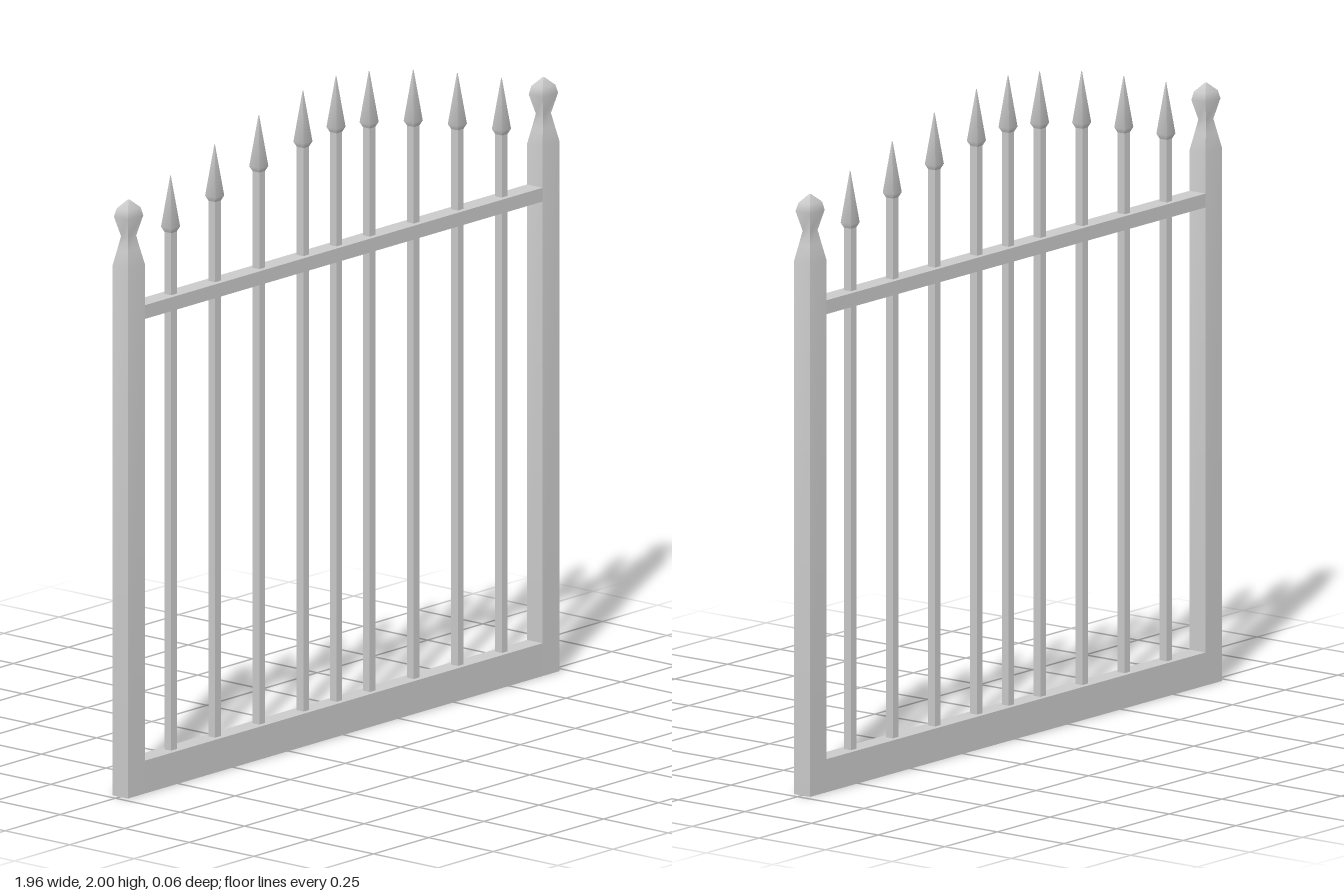
import * as THREE from 'three';
import { toCreasedNormals } from 'three/addons/utils/BufferGeometryUtils.js';

const material = new THREE.MeshStandardMaterial({ color: 0xcccccc });

// Four-sided loft through rings of [y, half width, half depth], listed upwards
function loft(rings) {
  const corners = [[-1, 1], [1, 1], [1, -1], [-1, -1]];
  const pos = [], index = [];
  for (const [y, w, d] of rings) for (const [sx, sz] of corners) pos.push(sx * w, y, sz * d);
  for (let r = 0; r < rings.length - 1; r++) {
    for (let i = 0; i < 4; i++) {
      const a = r * 4 + i, b = r * 4 + (i + 1) % 4;
      index.push(a, b, b + 4, a, b + 4, a + 4);
    }
  }
  const top = (rings.length - 1) * 4;
  index.push(0, 2, 1, 0, 3, 2, top, top + 1, top + 2, top, top + 2, top + 3);
  const g = new THREE.BufferGeometry();
  g.setAttribute('position', new THREE.Float32BufferAttribute(pos, 3));
  g.setIndex(index);
  return toCreasedNormals(g, Math.PI / 5);
}

function add(parent, name, geometry, x = 0, y = 0) {
  const mesh = new THREE.Mesh(geometry, material);
  mesh.name = name;
  mesh.position.set(x, y, 0);
  parent.add(mesh);
}

export function createModel() {
  const gate = new THREE.Group();
  gate.name = 'gate';

  // End posts with a necked, pointed finial
  const post = loft([
    [0, 0.039, 0.03], [1.61, 0.039, 0.03], [1.66, 0.027, 0.021], [1.7, 0.018, 0.014],
    [1.76, 0.035, 0.027], [1.785, 0.029, 0.022], [1.81, 0.002, 0.002],
  ]);
  add(gate, 'rightPost', post, -0.94);
  add(gate, 'leftPost', post, 0.94);

  // Horizontal rails between the posts
  add(gate, 'bottomRail', new THREE.BoxGeometry(1.802, 0.1, 0.06), 0, 0.05);
  add(gate, 'topRail', new THREE.BoxGeometry(1.802, 0.042, 0.06), 0, 1.465);

  // Upright bars, each with a spear point, forming an arched top
  const spear = loft([[-0.17, 0.013, 0.013], [-0.155, 0.02, 0.02], [0, 0.0008, 0.0008]]);
  const heights = [[0, 2], [0.15, 1.985], [0.35, 1.95], [0.55, 1.9], [0.75, 1.845]];
  for (const [offset, tip] of heights) {
    for (const x of offset ? [-offset, offset] : [0]) {
      const picket = new THREE.Group();
      picket.name = 'picket';
      const length = tip - 0.165 - 0.09;
      add(picket, 'bar', new THREE.BoxGeometry(0.026, length, 0.026), x, 0.09 + length / 2);
      add(picket, 'spearPoint', spear, x, tip);
      gate.add(picket);
    }
  }
  return gate;
}
